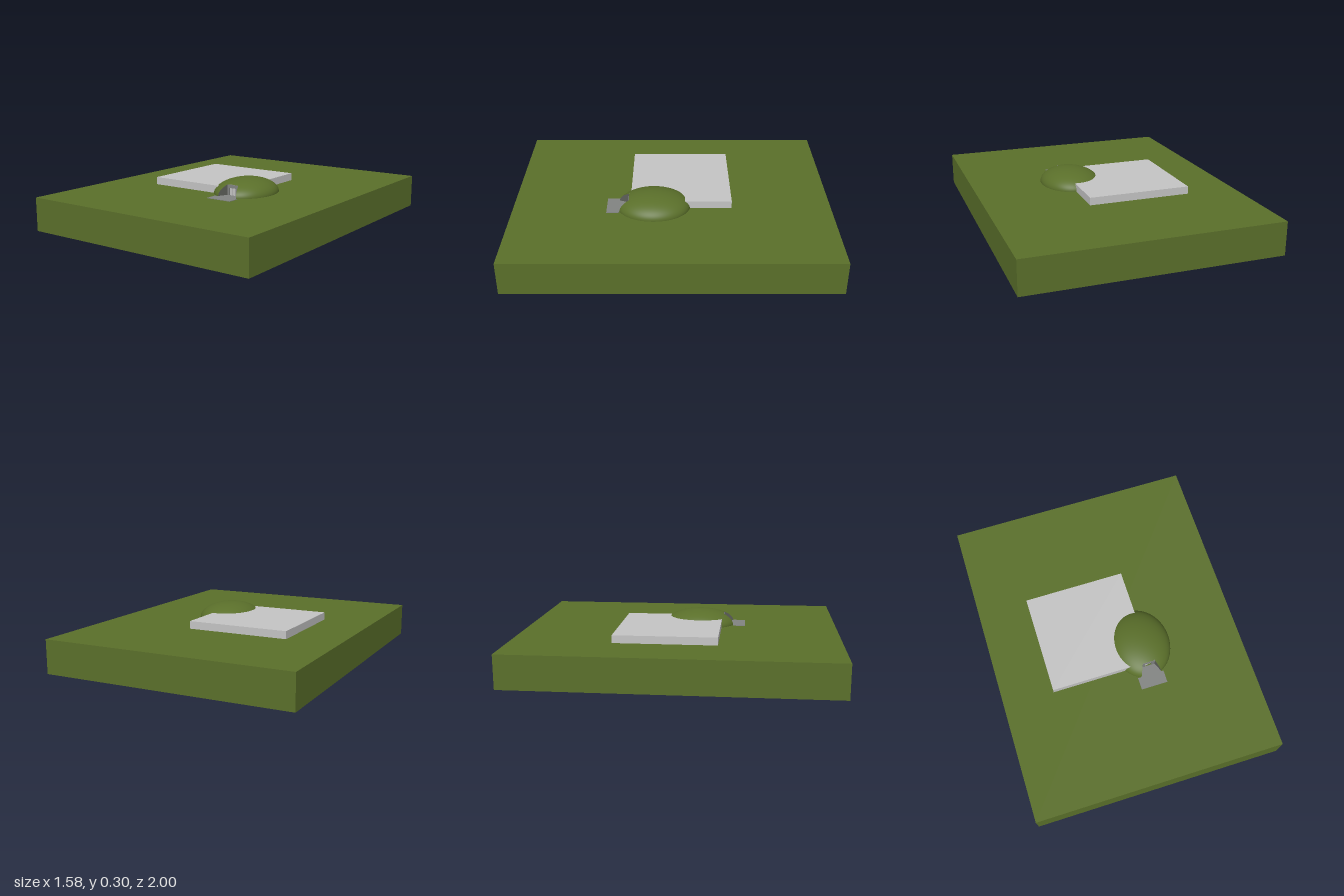
import * as THREE from 'three';

const GROUND = 0.21;
const C = { x: 0.155, z: 0.115 };             // mound centre
const RAD = { x: 0.19, y: 0.095, z: 0.23 };   // mound radii
const APEX = { x: 0.16, z: 0.174 };           // where the entrance walls would meet
const WEDGE = 0.395;                          // half angle of the entrance cut
const FACADE_Z = 0.27;

const grass = new THREE.MeshStandardMaterial({ name: 'grass', color: 0x5a6f2a });
const paleStone = new THREE.MeshStandardMaterial({ name: 'paleStone', color: 0xc4c4c4 });
const greyStone = new THREE.MeshStandardMaterial({ name: 'greyStone', color: 0x828482 });
const wallStone = new THREE.MeshStandardMaterial({ name: 'wallStone', color: 0x5c5e58, side: THREE.DoubleSide });
const darkness = new THREE.MeshStandardMaterial({ name: 'darkness', color: 0x2c2c2a });

function box(group, name, mat, x0, x1, y0, y1, z0, z1) {
  const m = new THREE.Mesh(new THREE.BoxGeometry(x1 - x0, y1 - y0, z1 - z0), mat);
  m.position.set((x0 + x1) / 2, (y0 + y1) / 2, (z0 + z1) / 2);
  m.name = name;
  group.add(m);
}

// Distance from the apex to the mound's rim; angle 0 points to +z
function rim(phi) {
  const dx = Math.sin(phi) / RAD.x, dz = Math.cos(phi) / RAD.z;
  const ox = (APEX.x - C.x) / RAD.x, oz = (APEX.z - C.z) / RAD.z;
  const a = dx * dx + dz * dz, b = ox * dx + oz * dz, c = ox * ox + oz * oz - 1;
  return (-b + Math.sqrt(b * b - a * c)) / a;
}

const facadeReach = phi => (FACADE_Z - APEX.z) / Math.cos(phi);

// Point on the mound's surface
function surface(phi, r) {
  const x = APEX.x + Math.sin(phi) * r, z = APEX.z + Math.cos(phi) * r;
  const u = (x - C.x) / RAD.x, w = (z - C.z) / RAD.z;
  return new THREE.Vector3(x, GROUND + RAD.y * Math.sqrt(Math.max(0, 1 - u * u - w * w)), z);
}

// Sector of the mound, from the apex out to reach(phi)
function moundSector(phi0, phi1, reach, segs, rings) {
  const pos = [], nor = [], idx = [], n = new THREE.Vector3();
  for (let i = 0; i <= segs; i++) {
    const phi = phi0 + (phi1 - phi0) * i / segs;
    for (let j = 0; j <= rings; j++) {
      const p = surface(phi, reach(phi) * Math.sin(j / rings * Math.PI / 2));
      n.set((p.x - C.x) / RAD.x ** 2, (p.y - GROUND) / RAD.y ** 2, (p.z - C.z) / RAD.z ** 2).normalize();
      pos.push(p.x, p.y, p.z);
      nor.push(n.x, n.y, n.z);
      if (i < segs && j < rings) {
        const a = i * (rings + 1) + j, d = a + rings + 1;
        idx.push(a, a + 1, d + 1, a, d + 1, d);
      }
    }
  }
  const g = new THREE.BufferGeometry();
  g.setAttribute('position', new THREE.Float32BufferAttribute(pos, 3));
  g.setAttribute('normal', new THREE.Float32BufferAttribute(nor, 3));
  g.setIndex(idx);
  return g;
}

// Upright wall from the facade to the rim, its top following the mound
function wingWall(phi) {
  const pos = [], idx = [], n = 12, r0 = facadeReach(phi), r1 = rim(phi);
  for (let i = 0; i <= n; i++) {
    const p = surface(phi, r0 + (r1 - r0) * Math.sin(i / n * Math.PI / 2));
    pos.push(p.x, GROUND, p.z, p.x, p.y, p.z);
    if (i < n) {
      const a = i * 2;
      if (phi < 0) idx.push(a, a + 1, a + 3, a, a + 3, a + 2);
      else idx.push(a, a + 3, a + 1, a, a + 2, a + 3);
    }
  }
  const g = new THREE.BufferGeometry();
  g.setAttribute('position', new THREE.Float32BufferAttribute(pos, 3));
  g.setIndex(idx);
  g.computeVertexNormals();
  return g;
}

export function createModel() {
  const model = new THREE.Group();
  model.name = 'moundOnGround';

  box(model, 'ground', grass, -0.7875, 0.7875, 0, GROUND, -1, 1);
  box(model, 'stoneSlab', paleStone, -0.465, 0.182, GROUND, 0.258, -0.375, 0.26);

  // Grassy mound with a wedge cut out for the entrance
  const mound = new THREE.Group();
  mound.name = 'mound';
  const parts = [
    ['moundBody', moundSector(WEDGE, 2 * Math.PI - WEDGE, rim, 72, 20), grass],
    ['moundOverEntrance', moundSector(-WEDGE, WEDGE, facadeReach, 8, 8), grass],
    ['leftWingWall', wingWall(WEDGE), wallStone],
    ['rightWingWall', wingWall(-WEDGE), wallStone],
  ];
  for (const [name, geo, mat] of parts) {
    const m = new THREE.Mesh(geo, mat);
    m.name = name;
    mound.add(m);
  }
  model.add(mound);

  // Facade with a recessed doorway, one leaf standing in it
  const entrance = new THREE.Group();
  entrance.name = 'entrance';
  const f0 = 0.255, f1 = FACADE_Z + 0.002;
  box(entrance, 'rightJamb', greyStone, 0.12, 0.134, GROUND, 0.278, f0, f1);
  box(entrance, 'leftJamb', greyStone, 0.18, 0.2, GROUND, 0.278, f0, f1);
  box(entrance, 'lintel', greyStone, 0.134, 0.18, 0.258, 0.278, f0, f1);
  box(entrance, 'doorwayBack', darkness, 0.134, 0.18, GROUND, 0.258, f0, f0 + 0.004);
  box(entrance, 'doorLeaf', paleStone, 0.136, 0.155, GROUND, 0.256, f0 + 0.004, f0 + 0.01);

  // Paving: wedge inside the cut, then a rectangular forecourt
  const outline = [[0.12, 0.27], [0.094, 0.332], [0.07, 0.332], [0.07, 0.41],
    [0.24, 0.41], [0.24, 0.332], [0.226, 0.332], [0.2, 0.27]];
  const shape = new THREE.Shape(outline.map(([x, z]) => new THREE.Vector2(x, -z)));
  const paving = new THREE.Mesh(new THREE.ExtrudeGeometry(shape, { depth: 0.003, bevelEnabled: false }), greyStone);
  paving.rotation.x = -Math.PI / 2;
  paving.position.y = GROUND;
  paving.name = 'paving';
  entrance.add(paving);
  model.add(entrance);

  return model;
}
